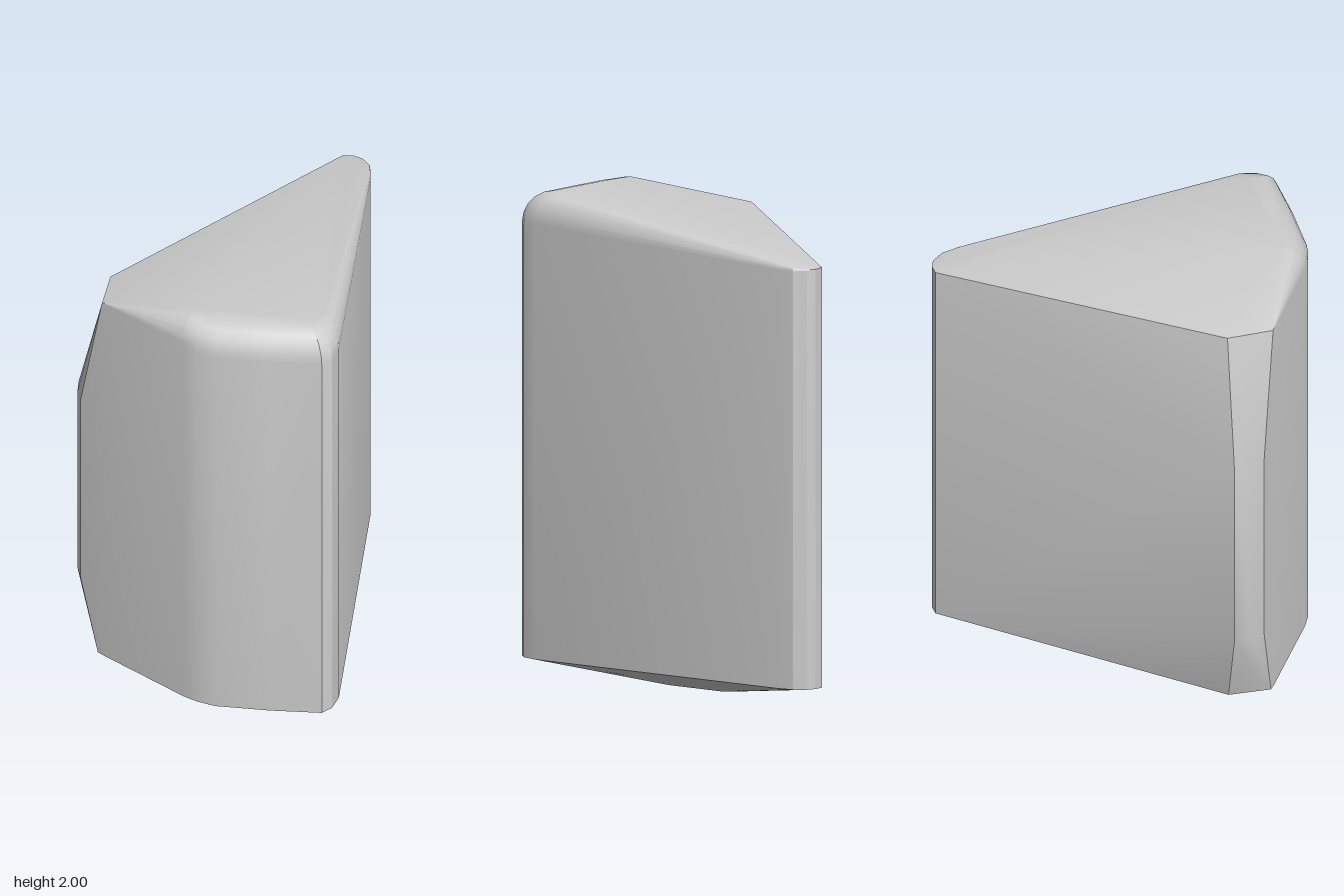
import * as THREE from 'three';
import { ConvexGeometry } from 'three/addons/geometries/ConvexGeometry.js';
import { toCreasedNormals } from 'three/addons/utils/BufferGeometryUtils.js';

// Plan outline of the block: [x, z, radius of the rounded top edge]
const outline = [
  [-0.06, 0.70, 0.10], [0, 0.725, 0.12], [0.08, 0.742, 0.13], [0.3, 0.732, 0.13],
  [0.51, 0.71, 0.13], [0.545, 0.67, 0.13], [0.56, 0.6, 0.11],
  [0.47, -0.62, 0.025], [0.455, -0.69, 0.015], [0.42, -0.732, 0.008],
  [0.38, -0.745, 0], [0.335, -0.74, 0],
];
// Narrow left end, whose top and bottom are cut back
const leftEnd = [[-0.56, 0.30], [-0.553, 0.37], [-0.53, 0.43]];

// Height of the top, falling towards the back
const topY = (z) => 2 - 0.138 * Math.max(0, 0.6 - z);

export function createModel() {
  const group = new THREE.Group();
  const stone = new THREE.MeshStandardMaterial({ color: 0xcccccc });
  stone.name = 'pale grey';
  const points = [];
  const add = (x, y, z) => points.push(new THREE.Vector3(x, y, z));
  // Small flat foot, a shrunken copy of the plan
  const addFoot = (x, z) => add(0.115 + 0.2 * x, 0, 0.04 + 0.216 * z);

  // Upright walls with a rounded upper edge
  for (const [x, z, r] of outline) {
    addFoot(x, z);
    add(x, 0.1, z);
    const inward = new THREE.Vector2(0.1 - x, 0.1 - z).normalize();
    const top = topY(z + inward.y * r);
    const steps = r > 0 ? 5 : 0;
    for (let i = 0; i <= steps; i++) {
      const a = steps ? (i / steps) * Math.PI / 2 : 0;
      const inset = r * (1 - Math.cos(a));
      add(x + inward.x * inset, top - r * (1 - Math.sin(a)), z + inward.y * inset);
    }
  }

  // Left end with its slanted cuts
  for (const [x, z] of leftEnd) {
    addFoot(-0.45, z);
    add(-0.45, 0.1, z);
    add(x, 0.44, z);
    add(x, 1.33, z);
  }
  add(-0.45, 0.1, 0.475);
  add(-0.42, 0.1, 0.495);
  add(-0.43, 1.88, 0.30);
  add(-0.43, 1.89, 0.488);

  const geometry = toCreasedNormals(new ConvexGeometry(points), 0.42);
  const block = new THREE.Mesh(geometry, stone);
  block.name = 'block';
  group.add(block);
  return group;
}
